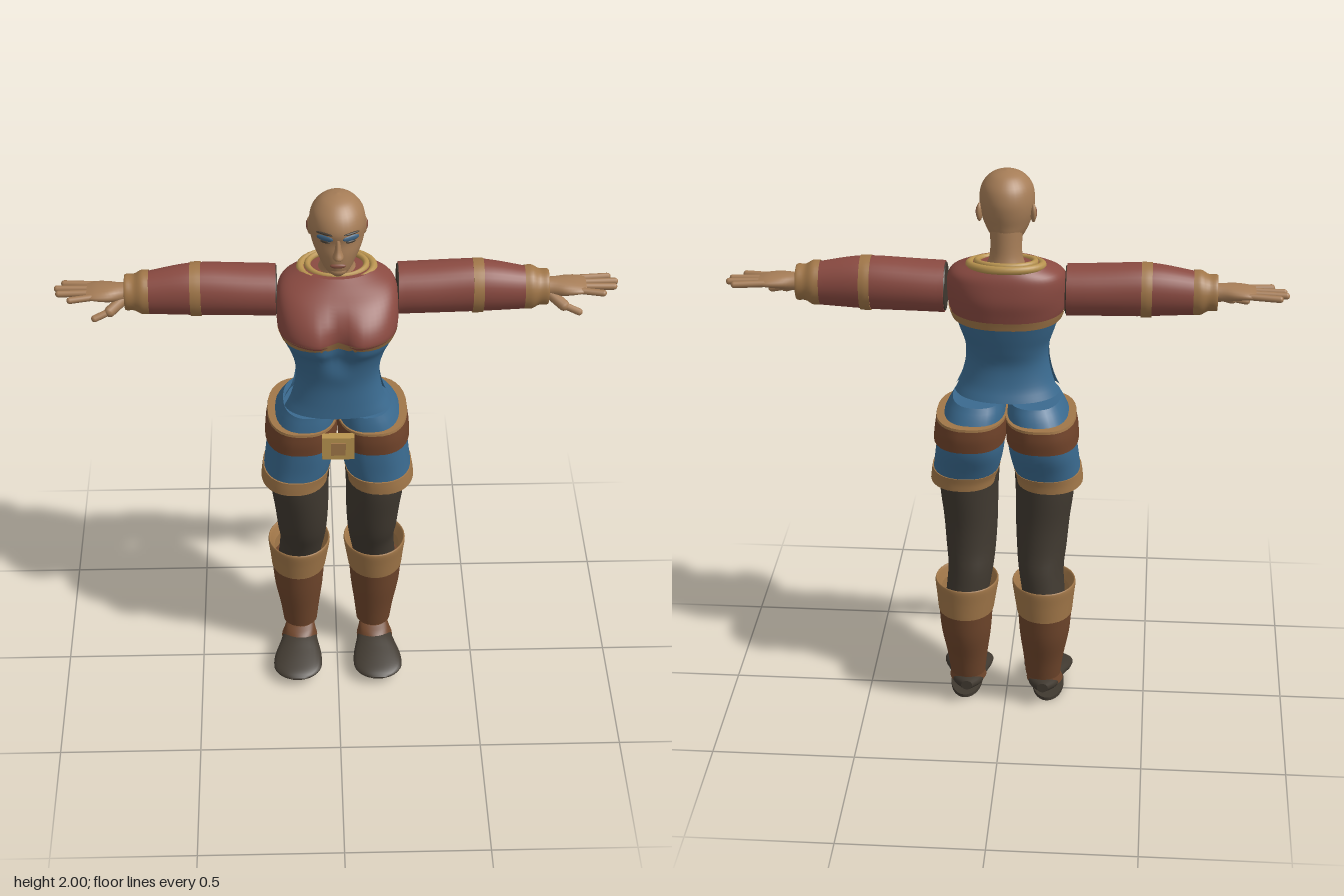
import * as THREE from 'three';

const mat = (name, color, side = THREE.FrontSide) => {
  const m = new THREE.MeshStandardMaterial({ color, side });
  m.name = name;
  return m;
};

// Smooth loft. Section: [height, centreA, centreB, radiusA, radiusB, power, frontNotch, tilt]
// axis 'y': A = x, B = z.  axis 'x': A = z, B = y.  axis 'z': A = y, B = x.
function loft(sections, { axis = 'y', segs = 32, from = 0, to = Math.PI * 2, caps = true, steps = 4 } = {}) {
  const defaults = [0, 0, 0, 0, 0, 1, 0, 0];
  const flat = sections.flatMap(s => defaults.map((d, i) => s[i] ?? d));
  const spline = new THREE.CubicInterpolant(sections.map((_, i) => i), flat, 8, new Float32Array(8));
  const full = to - from > 6.28, cols = full ? segs : segs + 1;
  const rows = (sections.length - 1) * steps + 1;
  const pos = [], idx = [];
  const bend = (v, p) => Math.sign(v) * Math.pow(Math.abs(v), p);
  const put = (x, y, z) => pos.push(...(axis === 'y' ? [x, y, z] : axis === 'x' ? [y, z, x] : [z, x, y]));
  const ring = t => {
    const [h, a, b, ra, rb, p, notch, tilt] = spline.evaluate(t);
    for (let j = 0; j < cols; j++) {
      const th = from + (to - from) * j / segs, c = Math.cos(th);
      const x = a + ra * bend(Math.sin(th), p);
      const dip = c > 0 ? notch * c * Math.exp(-((x / 0.04) ** 2)) : 0;
      put(x, h + tilt * c, b + rb * bend(c, p) - dip);
    }
    return [a, h, b];
  };
  for (let i = 0; i < rows; i++) ring(i / steps);
  for (let i = 0; i < rows - 1; i++) for (let j = 0; j < segs; j++) {
    const k = full ? (j + 1) % segs : j + 1;
    const a = i * cols + j, b = i * cols + k;
    idx.push(a, b, a + cols, b, b + cols, a + cols);
  }
  if (caps && full) for (const end of [0, 1]) {
    const start = pos.length / 3;
    put(...ring(end * (sections.length - 1)));
    for (let j = 0; j < segs; j++) {
      const a = start + j, b = start + (j + 1) % segs;
      idx.push(start + segs, end ? a : b, end ? b : a);
    }
  }
  const g = new THREE.BufferGeometry();
  g.setAttribute('position', new THREE.Float32BufferAttribute(pos, 3));
  g.setIndex(idx);
  g.computeVertexNormals();
  return g;
}

// Mirrored copy across x = 0 with the winding put right
function mirrored(geometry) {
  const g = geometry.clone().scale(-1, 1, 1), a = g.index.array;
  for (let i = 0; i < a.length; i += 3) [a[i + 1], a[i + 2]] = [a[i + 2], a[i + 1]];
  return g;
}

// Capsule between two points
function finger(p, q, r) {
  const a = new THREE.Vector3(...p), b = new THREE.Vector3(...q), d = b.clone().sub(a);
  const g = new THREE.CapsuleGeometry(r, d.length(), 5, 10);
  g.applyQuaternion(new THREE.Quaternion().setFromUnitVectors(new THREE.Vector3(0, 1, 0), d.normalize()));
  return g.translate(...a.add(b).multiplyScalar(0.5).toArray());
}

const blob = (x, y, z, rx, ry, rz, turn = 0) =>
  new THREE.SphereGeometry(1, 16, 12).scale(rx, ry, rz).rotateY(turn).translate(x, y, z);

export function createModel() {
  const model = new THREE.Group();
  const D = THREE.DoubleSide;
  const skin = mat('skin', 0xa67d57), red = mat('red cloth', 0x8a4a41), blue = mat('blue cloth', 0x3a6a8f, D);
  const trim = mat('tan trim', 0xa07648, D), dark = mat('dark leggings', 0x403930), brown = mat('boot leather', 0x6e452b);
  const belt = mat('belt leather', 0x70432a), gold = mat('gold trim', 0xb8934f), paint = mat('blue face paint', 0x3f6483);
  const lip = mat('lip and ear red', 0x85503f);
  const add = (name, g, m) => {
    const mesh = new THREE.Mesh(g, m);
    mesh.name = name;
    model.add(mesh);
  };
  const pair = (name, g, m) => {
    add(name + 'Left', g, m);
    add(name + 'Right', mirrored(g), m);
  };

  // Head and neck
  add('head', loft([
    [1.743, 0, 0.07, 0.018, 0.025], [1.757, 0, 0.035, 0.045, 0.07], [1.79, 0, 0.015, 0.064, 0.098],
    [1.83, 0, 0.01, 0.081, 0.104], [1.87, 0, 0.004, 0.09, 0.106], [1.91, 0, 0.006, 0.092, 0.109],
    [1.95, 0, 0.004, 0.083, 0.094], [1.98, 0, 0.002, 0.059, 0.065], [1.994, 0, 0, 0.032, 0.035], [2, 0, 0, 0.002, 0.002],
  ]), skin);
  add('neck', loft([
    [1.66, 0, -0.05, 0.085, 0.07], [1.7, 0, -0.048, 0.06, 0.06],
    [1.74, 0, -0.042, 0.053, 0.056], [1.82, 0, -0.035, 0.055, 0.055],
  ]), skin);
  add('nose', loft([
    [1.822, 0, 0.112, 0.015, 0.012], [1.832, 0, 0.114, 0.018, 0.029], [1.855, 0, 0.106, 0.011, 0.024],
    [1.89, 0, 0.1, 0.008, 0.016],
  ], { segs: 14 }), skin);
  add('chin', blob(0, 1.765, 0.086, 0.03, 0.02, 0.024), skin);
  add('lips', blob(0, 1.793, 0.11, 0.026, 0.009, 0.008), lip);
  pair('eyePaint', blob(0.042, 1.893, 0.1, 0.03, 0.011, 0.006, 0.5), paint);
  pair('eye', blob(0.041, 1.881, 0.1025, 0.018, 0.005, 0.005, 0.48), dark);
  pair('brow', blob(0.044, 1.91, 0.101, 0.03, 0.004, 0.005, 0.52), dark);
  pair('ear', blob(0.089, 1.862, -0.03, 0.01, 0.032, 0.019, -0.25), skin);
  pair('earHollow', blob(0.097, 1.864, -0.03, 0.004, 0.018, 0.01, -0.25), lip);

  // Red blouse with hem and collar
  add('blouse', loft([
    [1.5, 0, 0.025, 0.188, 0.165, 0.82, 0.035, 0.01], [1.53, 0, 0.03, 0.2, 0.178, 0.82, 0.045],
    [1.58, 0, 0.015, 0.203, 0.172, 0.82, 0.03], [1.63, 0, -0.008, 0.2, 0.145, 0.82, 0.008],
    [1.665, 0, -0.03, 0.18, 0.115, 0.85], [1.695, 0, -0.045, 0.125, 0.085, 1],
  ], { segs: 56 }), red);
  add('blouseHem', loft([
    [1.492, 0, 0.025, 0.19, 0.168, 0.82, 0.035, 0.01], [1.508, 0, 0.027, 0.196, 0.174, 0.82, 0.038, 0.01],
    [1.522, 0, 0.029, 0.2, 0.18, 0.82, 0.042, 0.01],
  ], { segs: 56, caps: false }), trim);
  for (const [r, y, t] of [[0.122, 1.688, 0.014], [0.098, 1.698, 0.011]])
    add('collar', new THREE.TorusGeometry(r, t, 10, 40).rotateX(Math.PI / 2).scale(1, 1, 0.7).rotateX(0.1)
      .translate(0, y, -0.052), gold);

  // Bodice: front and back panels, open along the sides
  const gap = 0.15, half = Math.PI / 2 - gap;
  add('bodiceFront', loft([
    [1.2, 0, 0.036, 0.183, 0.106, 0.9], [1.25, 0, 0.036, 0.16, 0.104, 0.9], [1.32, 0, 0.036, 0.144, 0.104, 0.9],
    [1.38, 0, 0.036, 0.145, 0.112, 0.85], [1.44, 0, 0.032, 0.163, 0.132, 0.82, 0.02],
    [1.48, 0, 0.03, 0.18, 0.158, 0.82, 0.035], [1.515, 0, 0.03, 0.188, 0.168, 0.82, 0.04],
  ], { from: -half, to: half }), blue);
  add('bodiceBack', loft([
    [1.2, 0, 0.036, 0.183, 0.147, 0.9], [1.25, 0, 0.036, 0.16, 0.127, 0.9], [1.32, 0, 0.034, 0.144, 0.117, 0.9],
    [1.38, 0, 0.03, 0.145, 0.13, 0.9], [1.44, 0, 0.025, 0.163, 0.144, 0.85], [1.515, 0, 0.02, 0.186, 0.16, 0.82],
  ], { from: Math.PI - half, to: Math.PI + half }), blue);

  // Shorts, one half for each leg, with hem
  pair('shorts', loft([
    [0.89, 0.148, 0.004, 0.112, 0.132, 0.9], [0.95, 0.135, -0.006, 0.117, 0.142, 0.85],
    [1.02, 0.125, -0.018, 0.118, 0.158, 0.82], [1.09, 0.119, -0.021, 0.114, 0.162, 0.82],
    [1.15, 0.106, -0.013, 0.102, 0.147, 0.82], [1.19, 0.096, -0.004, 0.09, 0.13, 0.85],
  ]), blue);
  pair('shortsHem', loft([
    [0.87, 0.15, 0.004, 0.117, 0.138, 0.9], [0.895, 0.147, 0.003, 0.117, 0.139, 0.9], [0.92, 0.142, 0, 0.118, 0.141, 0.88],
  ]), trim);

  // Belt with rim and buckle
  pair('belt', loft([
    [1.045, 0.126, -0.022, 0.125, 0.167, 0.82], [1.09, 0.123, -0.023, 0.124, 0.172, 0.82],
    [1.13, 0.119, -0.023, 0.12, 0.17, 0.82],
  ]), belt);
  pair('beltRim', loft([
    [1.128, 0.12, -0.023, 0.122, 0.172, 0.82], [1.137, 0.119, -0.023, 0.121, 0.171, 0.82],
  ], { steps: 1 }), trim);
  add('buckle', new THREE.BoxGeometry(0.11, 0.09, 0.03).translate(0, 1.085, 0.142), gold);
  add('buckleCentre', new THREE.BoxGeometry(0.05, 0.05, 0.008).translate(0, 1.085, 0.158), trim);

  // Legs
  pair('legging', loft([
    [0.44, 0.137, -0.075, 0.075, 0.08], [0.54, 0.125, -0.05, 0.08, 0.092], [0.62, 0.125, -0.024, 0.088, 0.1],
    [0.72, 0.127, -0.007, 0.095, 0.108], [0.84, 0.133, 0.001, 0.103, 0.12], [0.95, 0.128, 0, 0.105, 0.12],
  ]), dark);
  pair('boot', loft([
    [0.12, 0.136, -0.078, 0.062, 0.06], [0.2, 0.137, -0.08, 0.072, 0.075], [0.3, 0.14, -0.085, 0.088, 0.097],
    [0.4, 0.141, -0.085, 0.096, 0.108],
  ]), brown);
  pair('bootCuff', loft([
    [0.388, 0.14, -0.085, 0.098, 0.11], [0.45, 0.138, -0.082, 0.106, 0.116], [0.498, 0.137, -0.08, 0.112, 0.121],
    [0.506, 0.137, -0.08, 0.106, 0.115], [0.47, 0.137, -0.078, 0.09, 0.1],
  ], { caps: false }), trim);

  // Shoes and soles
  pair('ankle', loft([
    [0.07, 0.14, -0.03, 0.066, 0.075], [0.1, 0.138, -0.042, 0.056, 0.06], [0.118, 0.136, -0.062, 0.05, 0.045],
  ]), brown);
  pair('shoe', loft([
    [-0.138, 0.085, 0.137, 0.018, 0.02], [-0.08, 0.073, 0.138, 0.027, 0.052], [0, 0.069, 0.141, 0.032, 0.068],
    [0.07, 0.056, 0.146, 0.029, 0.086], [0.13, 0.047, 0.148, 0.021, 0.086], [0.165, 0.042, 0.148, 0.014, 0.06],
    [0.183, 0.04, 0.148, 0.004, 0.025],
  ], { axis: 'z', segs: 24 }), dark);
  pair('sole', new THREE.CylinderGeometry(1, 1, 0.012, 28).scale(0.057, 1, 0.118).translate(0.15, 0.008, 0.028), dark);

  // Sleeves with bands and open cuffs
  pair('sleeve', loft([
    [0.204, -0.05, 1.602, 0.088, 0.087], [0.3, -0.05, 1.605, 0.088, 0.088], [0.44, -0.05, 1.609, 0.083, 0.091],
    [0.52, -0.048, 1.608, 0.078, 0.087], [0.64, -0.045, 1.599, 0.064, 0.073],
  ], { axis: 'x' }), red);
  pair('sleeveBand', loft([
    [0.452, -0.05, 1.608, 0.086, 0.094], [0.47, -0.05, 1.608, 0.086, 0.094], [0.488, -0.049, 1.608, 0.084, 0.093],
  ], { axis: 'x' }), trim);
  pair('shoulderTrim', loft([
    [0.2, -0.05, 1.602, 0.082, 0.08], [0.206, -0.05, 1.602, 0.085, 0.083],
  ], { axis: 'x', steps: 1 }), dark);
  pair('cuff', loft([
    [0.625, -0.045, 1.602, 0.068, 0.076], [0.65, -0.045, 1.602, 0.068, 0.076], [0.675, -0.045, 1.602, 0.06, 0.062],
    [0.7, -0.045, 1.602, 0.058, 0.062], [0.703, -0.045, 1.602, 0.053, 0.056], [0.66, -0.045, 1.602, 0.045, 0.047],
  ], { axis: 'x', caps: false }), trim);

  // Hands
  pair('palm', loft([
    [0.64, -0.045, 1.6, 0.036, 0.034], [0.71, -0.044, 1.603, 0.036, 0.031], [0.76, -0.043, 1.606, 0.051, 0.026],
    [0.8, -0.045, 1.607, 0.055, 0.02], [0.832, -0.047, 1.606, 0.05, 0.013],
  ], { axis: 'x', segs: 20 }), skin);
  const fingers = [[-0.086, -0.097, 0.91], [-0.06, -0.066, 0.932], [-0.034, -0.034, 0.925], [-0.008, 0.006, 0.885]];
  for (const [z0, z1, tip] of fingers)
    pair('finger', finger([0.81, 1.607, z0], [tip, 1.605, z1], 0.0115), skin);
  pair('thumbBase', finger([0.71, 1.588, -0.025], [0.755, 1.562, 0.01], 0.019), skin);
  pair('thumb', finger([0.755, 1.562, 0.01], [0.805, 1.546, 0.027], 0.0125), skin);

  return model;
}
